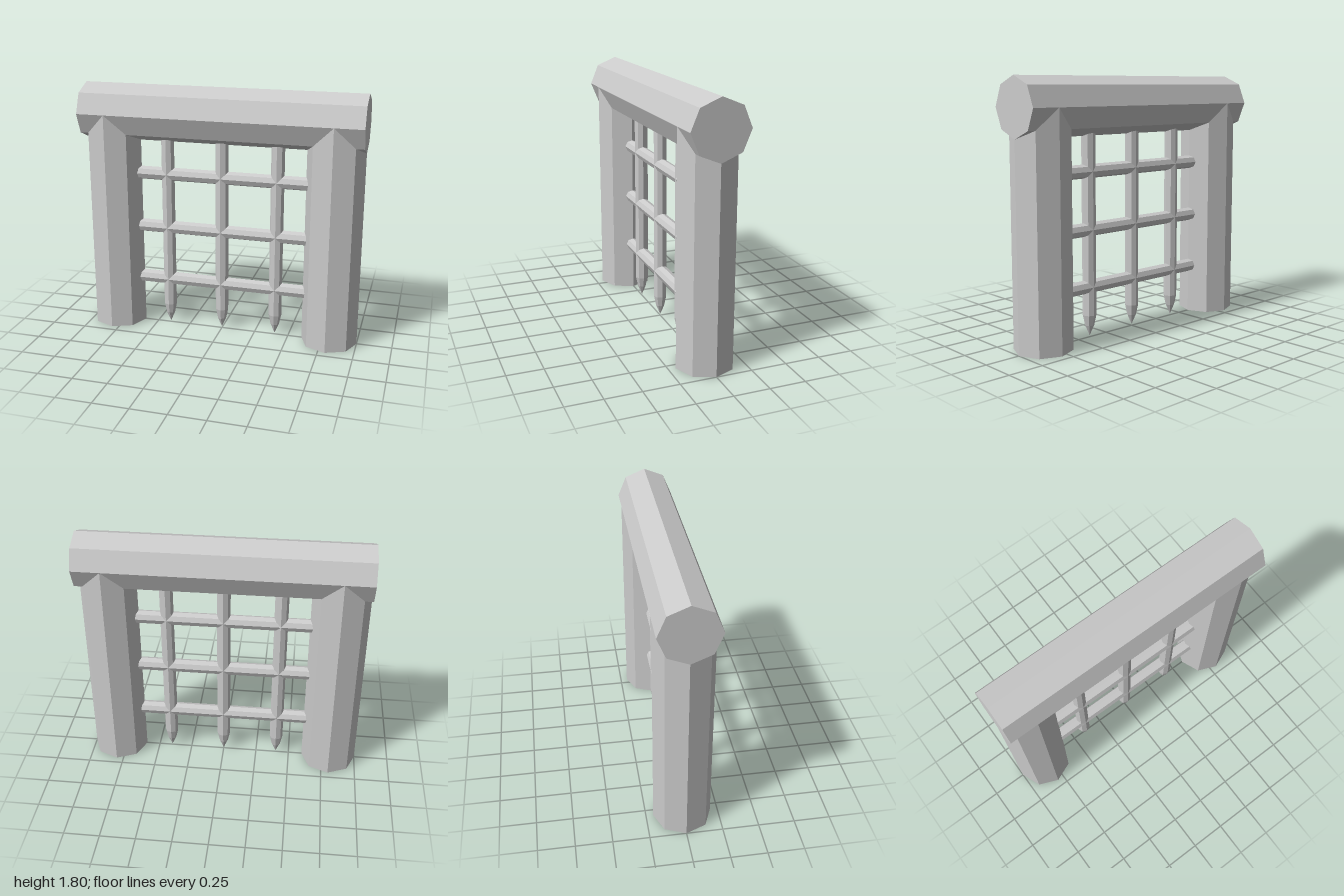
import * as THREE from 'three';

const SIDES = 8;
const material = new THREE.MeshStandardMaterial({
  color: 0xcccccc, flatShading: true, side: THREE.DoubleSide,
});

function addPart(parent, name, geometry, x = 0, y = 0) {
  const mesh = new THREE.Mesh(geometry, material);
  mesh.name = name;
  mesh.position.set(x, y, 0);
  parent.add(mesh);
  return mesh;
}

// Octagonal log standing upright, centred on its own origin
const log = (radius, length, open) =>
  new THREE.CylinderGeometry(radius, radius, length, SIDES, 1, open);

export function createModel() {
  const gate = new THREE.Group();
  gate.name = 'gate';

  // Hollow posts, their tops buried in the beam
  addPart(gate, 'rightPost', log(0.2, 1.6, true), -0.8, 0.8);
  addPart(gate, 'leftPost', log(0.2, 1.6, true), 0.8, 0.8);

  // Beam lying across both posts
  addPart(gate, 'topBeam', log(0.2, 2, false), 0, 1.6).rotation.z = Math.PI / 2;

  const grille = new THREE.Group();
  grille.name = 'grille';
  gate.add(grille);

  // Upright bars with spiked lower ends
  const spikedProfile = [[0, 0.01], [0.032, 0.085], [0.048, 0.16], [0.048, 1.6]]
    .map(([r, y]) => new THREE.Vector2(r, y));
  for (const x of [-0.4, 0, 0.4]) {
    addPart(grille, 'spikedBar', new THREE.LatheGeometry(spikedProfile, SIDES), x);
  }

  // Crossbars running into the posts
  for (const y of [0.36, 0.76, 1.16]) {
    addPart(grille, 'crossBar', log(0.048, 1.4, false), 0, y).rotation.z = Math.PI / 2;
  }

  return gate;
}
